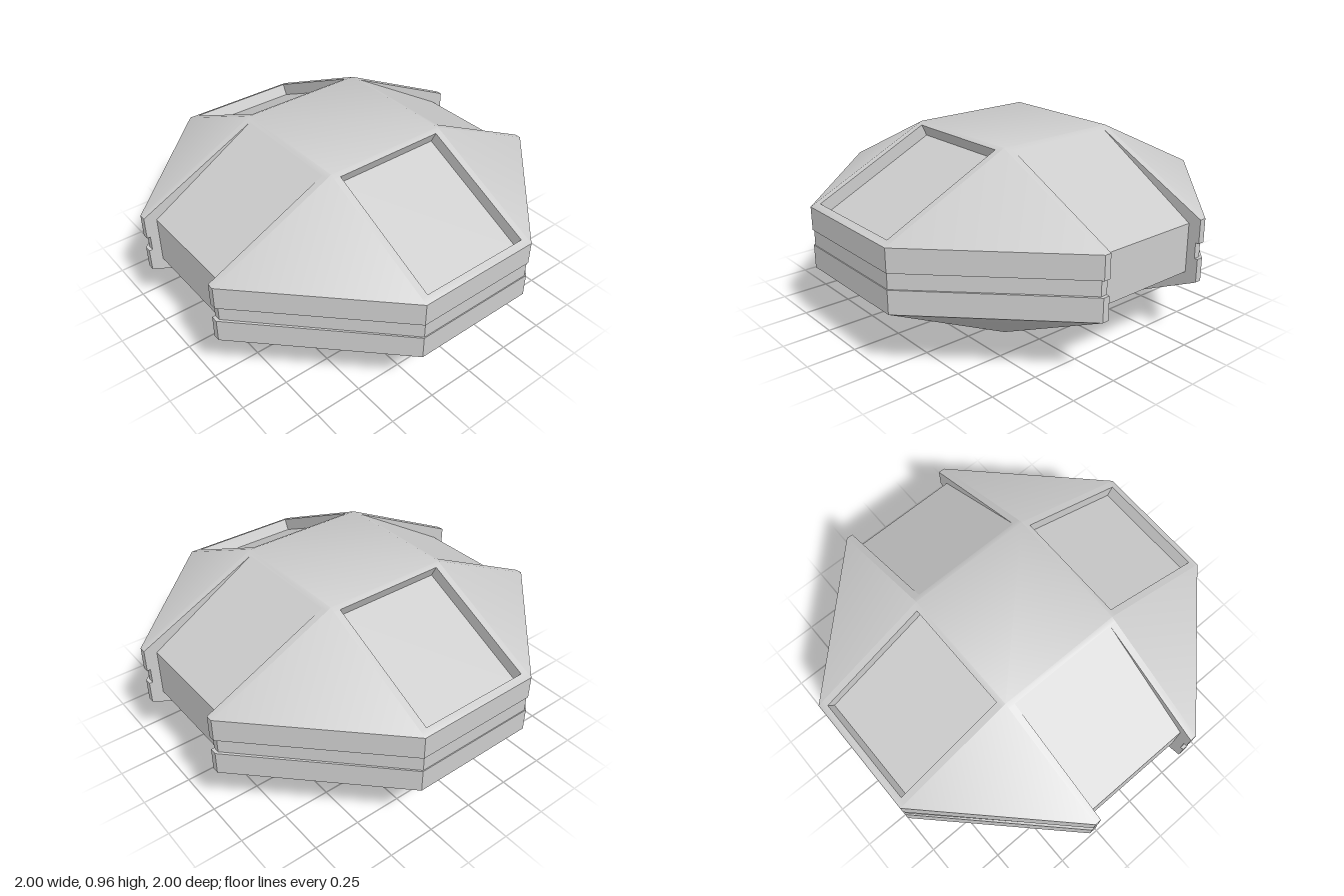
import * as THREE from 'three';
import { toCreasedNormals } from 'three/addons/utils/BufferGeometryUtils.js';

const MID = 0.48;    // half height of the body
const RIM = 0.16;    // half height of the vertical rim
const GROOVE = 0.04; // half height of the groove in the rim
const A = 0.335;     // half width of the flat top and of the short sides
const W = 0.3;       // half width of the recesses
const IN = 0.36;     // inner end of the recesses
const OUT = 0.965;   // outer end of the closed recesses
const CUT = 0.935;   // back wall of the open side recesses
const DV = -0.028, DH = -0.058; // recess depth, square to the slope

// height of the sloping roof at distance v from the centre
const roof = (v) => MID - ((v - A) * (MID - RIM)) / (1 - A);

// collects polygons for one half (s = 1 upper, -1 lower) of the body
function collector(s) {
  const pos = [];
  // points are [across, height, outward], turned k quarter turns about y
  const face = (k, ...pts) => {
    const p = pts.map(([u, h, v]) => {
      const [x, z] = [[u, v], [v, -u], [-u, -v], [-v, u]][k];
      return [x, MID + s * h, z];
    });
    if (s < 0) p.reverse();
    for (let i = 1; i < p.length - 1; i++) pos.push(...p[0], ...p[i], ...p[i + 1]);
  };
  const mesh = (name) => {
    const g = new THREE.BufferGeometry();
    g.setAttribute('position', new THREE.Float32BufferAttribute(pos, 3));
    const m = new THREE.Mesh(toCreasedNormals(g, 0.6), new THREE.MeshStandardMaterial({ color: 0xcccccc }));
    m.name = name;
    return m;
  };
  return { face, mesh };
}

// flat centre, four slopes with openings, four corner facets
function shell(s) {
  const { face, mesh } = collector(s);
  face(0, [-A, MID, -A], [-A, MID, A], [A, MID, A], [A, MID, -A]);
  for (let k = 0; k < 4; k++) {
    const strip = (u0, u1, v0, v1) =>
      face(k, [u0, roof(v0), v0], [u0, roof(v1), v1], [u1, roof(v1), v1], [u1, roof(v0), v0]);
    const end = k % 2 ? 1 : OUT;
    strip(-A, A, A, IN);
    strip(-A, -W, IN, end);
    strip(W, A, IN, end);
    if (end < 1) strip(-A, A, end, 1);
    face(k, [A, MID, A], [A, RIM, 1], [1, RIM, A]);
  }
  return mesh(s > 0 ? 'upperShell' : 'lowerShell');
}

// rim wall, groove ledge and groove wall, in a front and a back run
function rim(s) {
  const { face, mesh } = collector(s);
  const path = [[-1, W], [-1, A], [-A, 1], [A, 1], [1, A], [1, W]];
  const inset = ([x, z]) => [x * 0.983, z * 0.995];
  for (const k of [0, 2]) {
    for (let i = 0; i < path.length - 1; i++) {
      const p = path[i], q = path[i + 1], pi = inset(p), qi = inset(q);
      const at = (c, h) => [c[0], h, c[1]];
      face(k, at(p, RIM), at(p, GROOVE), at(q, GROOVE), at(q, RIM));
      face(k, at(p, GROOVE), at(pi, GROOVE), at(qi, GROOVE), at(q, GROOVE));
      face(k, at(pi, GROOVE), at(pi, 0), at(qi, 0), at(qi, GROOVE));
    }
  }
  return mesh(s > 0 ? 'upperRim' : 'lowerRim');
}

// sunken panel on side k; odd sides run out through the rim
function recess(s, k) {
  const { face, mesh } = collector(s);
  const open = k % 2 === 1;
  const wedge = open && s > 0; // the upper side panels rise to the surface
  const top = [IN, roof(IN)];
  const end = open ? [1, RIM] : [OUT, roof(OUT)];
  const floorIn = wedge ? top : [IN + DV, roof(IN) + DH];
  const floorOut = open ? [CUT, 0.125] : [OUT + DV, roof(OUT) + DH];
  const at = (u, [v, h]) => [u, h, v];
  const across = (a, b) => face(k, at(-W, a), at(-W, b), at(W, b), at(W, a));
  const jambs = (...pts) => {
    face(k, ...pts.map((p) => at(-W, p)));
    face(k, ...pts.map((p) => at(W, p)).reverse());
  };
  across(floorIn, floorOut);
  if (!wedge) across(top, floorIn);
  jambs(top, end, floorOut, floorIn);
  if (open) {
    across(floorOut, [CUT, 0]);
    jambs(end, [1, GROOVE], [CUT, GROOVE], floorOut);
    jambs([0.983, GROOVE], [0.983, 0], [CUT, 0], [CUT, GROOVE]);
  } else {
    across(floorOut, end);
  }
  const side = ['front', 'left', 'back', 'right'][k];
  return mesh(side + (s > 0 ? 'Upper' : 'Lower') + 'Recess');
}

export function createModel() {
  const group = new THREE.Group();
  group.name = 'facetedBody';
  for (const s of [1, -1]) {
    group.add(shell(s), rim(s));
    for (let k = 0; k < 4; k++) group.add(recess(s, k));
  }
  return group;
}
